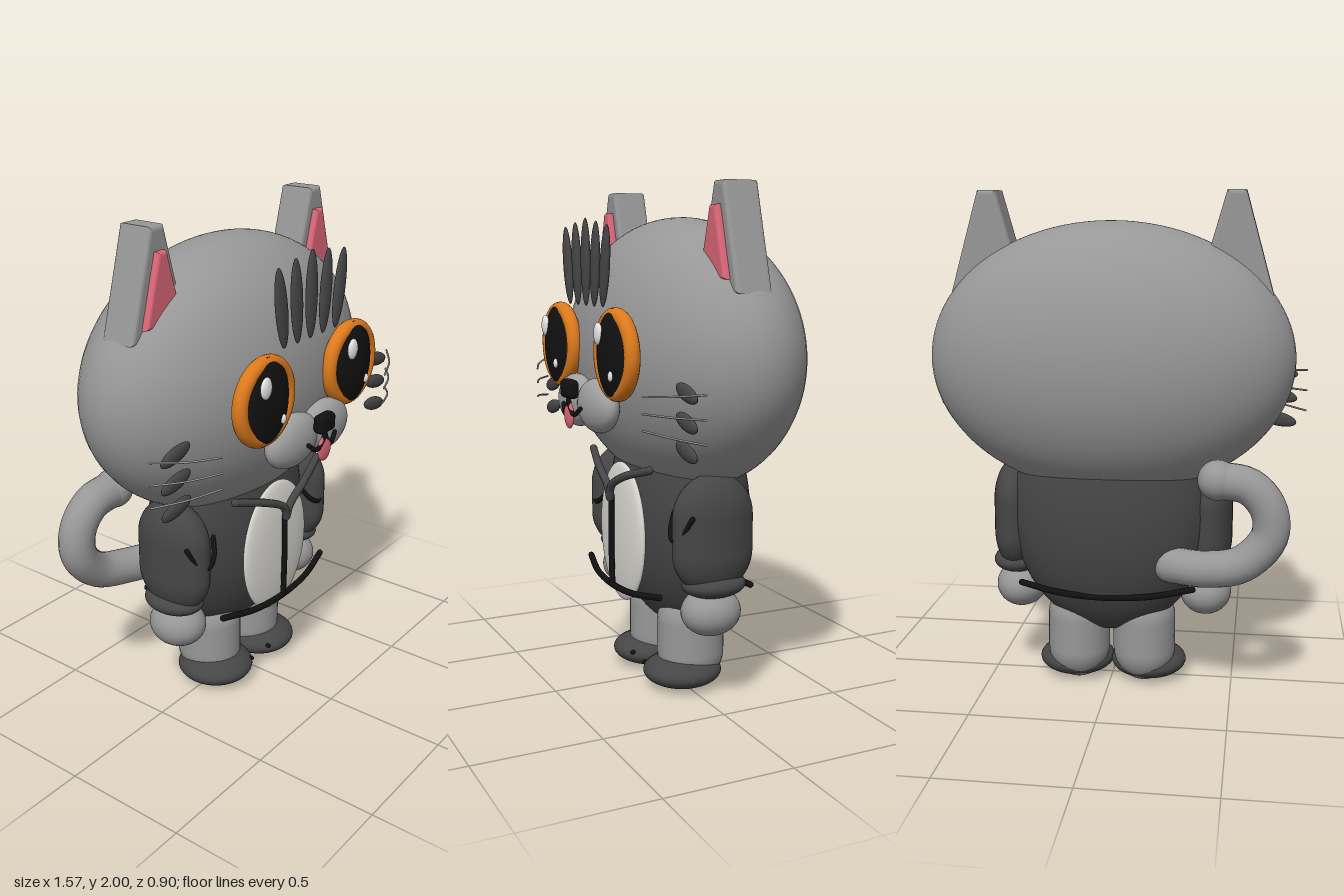
import * as THREE from 'three';
import { RoundedBoxGeometry } from 'three/addons/geometries/RoundedBoxGeometry.js';

const paint = (name, color) => {
  const m = new THREE.MeshStandardMaterial({ color });
  m.name = name;
  return m;
};

export function createModel() {
  const fur = paint('grey fur', 0x979797);
  const dark = paint('charcoal', 0x464646);
  const black = paint('black', 0x111111);
  const white = paint('highlight white', 0xf2f2f2);
  const cream = paint('belly cream', 0xd9d8d2);
  const orange = paint('orange', 0xdd7a1c);
  const pink = paint('pink', 0xdd6878);
  const muzzleGrey = paint('muzzle grey', 0xa0a0a0);

  const model = new THREE.Group();
  model.name = 'cat';

  const add = (name, geometry, material, pos = [0, 0, 0]) => {
    const mesh = new THREE.Mesh(geometry, material);
    mesh.name = name;
    mesh.position.set(...pos);
    model.add(mesh);
    return mesh;
  };
  // Ellipsoid with given half sizes
  const blob = (name, material, pos, size, tilt = 0, seg = 32) => {
    const mesh = add(name, new THREE.SphereGeometry(1, seg, seg * 0.75), material, pos);
    mesh.scale.set(...size);
    mesh.rotation.z = tilt;
    return mesh;
  };
  // Smooth tube through points, closed by round ends
  const rope = (name, material, points, r, sides = 10) => {
    const pts = points.map(p => new THREE.Vector3(...p));
    add(name, new THREE.TubeGeometry(new THREE.CatmullRomCurve3(pts), 32, r, sides), material);
    for (const p of [points[0], points[points.length - 1]])
      blob(name + 'End', material, p, [r, r, r], 0, 12);
  };
  // Upright capsule stretched to half sizes
  const capsule = (name, material, pos, rx, rz, halfHeight) => {
    const mesh = add(name, new THREE.CapsuleGeometry(rz, 2 * (halfHeight - rz), 12, 32), material, pos);
    mesh.scale.x = rx / rz;
  };
  // Tapered plate with softened edges
  const plate = (name, material, x, y0, y1, base, top, z0, z1, bevel) => {
    const b = bevel;
    const shape = new THREE.Shape([[-base + b, y0 + b], [base - b, y0 + b], [top - b, y1 - b], [-top + b, y1 - b]]
      .map(p => new THREE.Vector2(...p)));
    const g = new THREE.ExtrudeGeometry(shape, {
      depth: z1 - z0 - 2 * b, bevelSize: b, bevelThickness: b, bevelSegments: 3,
    });
    add(name, g, material, [x, 0, z0 + b]);
  };

  // Head and torso
  blob('head', fur, [0, 1.345, -0.055], [0.727, 0.54, 0.395], 0, 64);
  blob('jacket', dark, [0, 0.72, -0.05], [0.41, 0.5, 0.25], 0, 48);
  blob('belly', cream, [0, 0.632, 0.2], [0.21, 0.285, 0.035], 0, 40);
  rope('zipper', black, [[0, 0.42, 0.247], [0, 0.6, 0.25], [0, 0.78, 0.247]], 0.012);

  // Hem and collar, front and back
  for (const f of [1, -1]) {
    rope('hem', black, [[-0.345, 0.447, f * 0.2], [-0.18, 0.422, f * 0.235], [0, 0.413, f * 0.245],
      [0.18, 0.422, f * 0.235], [0.345, 0.447, f * 0.2]], 0.013);
    for (const s of [1, -1])
      rope('collar', dark, [[0, 0.775, f * 0.255], [s * 0.02, 0.825, f * 0.258],
        [s * 0.12, 0.88, f * 0.25], [s * 0.28, 0.93, f * 0.21]], 0.016);
  }

  for (const s of [1, -1]) {
    // Ears
    plate('ear', fur, s * 0.485, 1.6, 2, 0.147, 0.04, -0.11, 0.035, 0.015);
    plate('innerEar', pink, s * 0.485, 1.65, 1.915, 0.095, 0.025, 0.025, 0.06, 0.012);

    // Eyes
    const ex = s * 0.285, ey = 1.375;
    add('eyeRing', new THREE.TorusGeometry(0.144, 0.03, 16, 48), orange, [ex, ey, 0.345]);
    blob('pupil', black, [ex, ey, 0.352], [0.128, 0.172, 0.048]);
    blob('eyeShine', white, [ex - 0.055, ey + 0.075, 0.394], [0.03, 0.042, 0.014], 0, 20);
    blob('eyeSparkle', white, [ex + 0.055, ey - 0.073, 0.393], [0.014, 0.019, 0.009], 0, 16);

    // Muzzle and mouth
    blob('muzzle', muzzleGrey, [s * 0.105, 1.165, 0.345], [0.155, 0.105, 0.062]);
    rope('mouth', black, [[0, 1.19, 0.425], [s * 0.012, 1.155, 0.426], [s * 0.05, 1.128, 0.423],
      [s * 0.09, 1.155, 0.413]], 0.009);

    // Cheek marks and whiskers
    for (const i of [1, 0, -1]) {
      blob('cheekMark', dark, [s * 0.665, 1.167 + i * 0.102, 0.247], [0.08, 0.03, 0.016], -s * 0.22, 20);
      rope('whisker', fur, [[s * 0.55, 1.19 + i * 0.06, 0.36], [s * 0.68, 1.19 + i * 0.072, 0.305],
        [s * 0.78, 1.19 + i * 0.085, 0.232]], 0.004, 6);
    }

    // Arms
    capsule('sleeve', dark, [s * 0.4, 0.69, 0], 0.093, 0.167, 0.235);
    blob('cuff', dark, [s * 0.4, 0.492, -0.005], [0.1, 0.052, 0.13]);
    blob('hand', fur, [s * 0.387, 0.38, 0], [0.105, 0.095, 0.12]);
    rope('sleeveSeam', black, [[s * 0.465, 0.77, 0.12], [s * 0.43, 0.705, 0.145], [s * 0.38, 0.675, 0.16],
      [s * 0.33, 0.705, 0.145], [s * 0.295, 0.77, 0.11]], 0.01);

    // Legs and feet
    capsule('leg', fur, [s * 0.137, 0.205, -0.04], 0.128, 0.138, 0.205);
    blob('foot', dark, [s * 0.152, 0.068, 0.005], [0.156, 0.066, 0.16]);
    for (const x of [0.06, 0.212])
      blob('toeDot', black, [s * x, 0.085, 0.13], [0.009, 0.009, 0.012], 0, 12);
  }

  // Nose and tongue
  add('nose', new RoundedBoxGeometry(0.1, 0.075, 0.05, 4, 0.02), black, [0, 1.224, 0.422]);
  blob('tongue', pink, [0, 1.12, 0.424], [0.042, 0.052, 0.014], 0, 24);

  // Forehead stripes fanning outward
  for (let i = -2; i <= 2; i++)
    blob('foreheadStripe', dark, [i * 0.095, 1.71 - Math.abs(i) * 0.007, 0.348],
      [0.033, 0.168 - Math.abs(i) * 0.007, 0.016], -i * 0.075, 20);

  // Curled tail
  rope('tail', fur, [[-0.26, 0.55, -0.21], [-0.4, 0.555, -0.26], [-0.54, 0.59, -0.285], [-0.64, 0.7, -0.285],
    [-0.635, 0.81, -0.285], [-0.56, 0.895, -0.28], [-0.44, 0.915, -0.275]], 0.072, 20);
  blob('tailTip', fur, [-0.44, 0.915, -0.275], [0.078, 0.078, 0.078]);

  return model;
}
